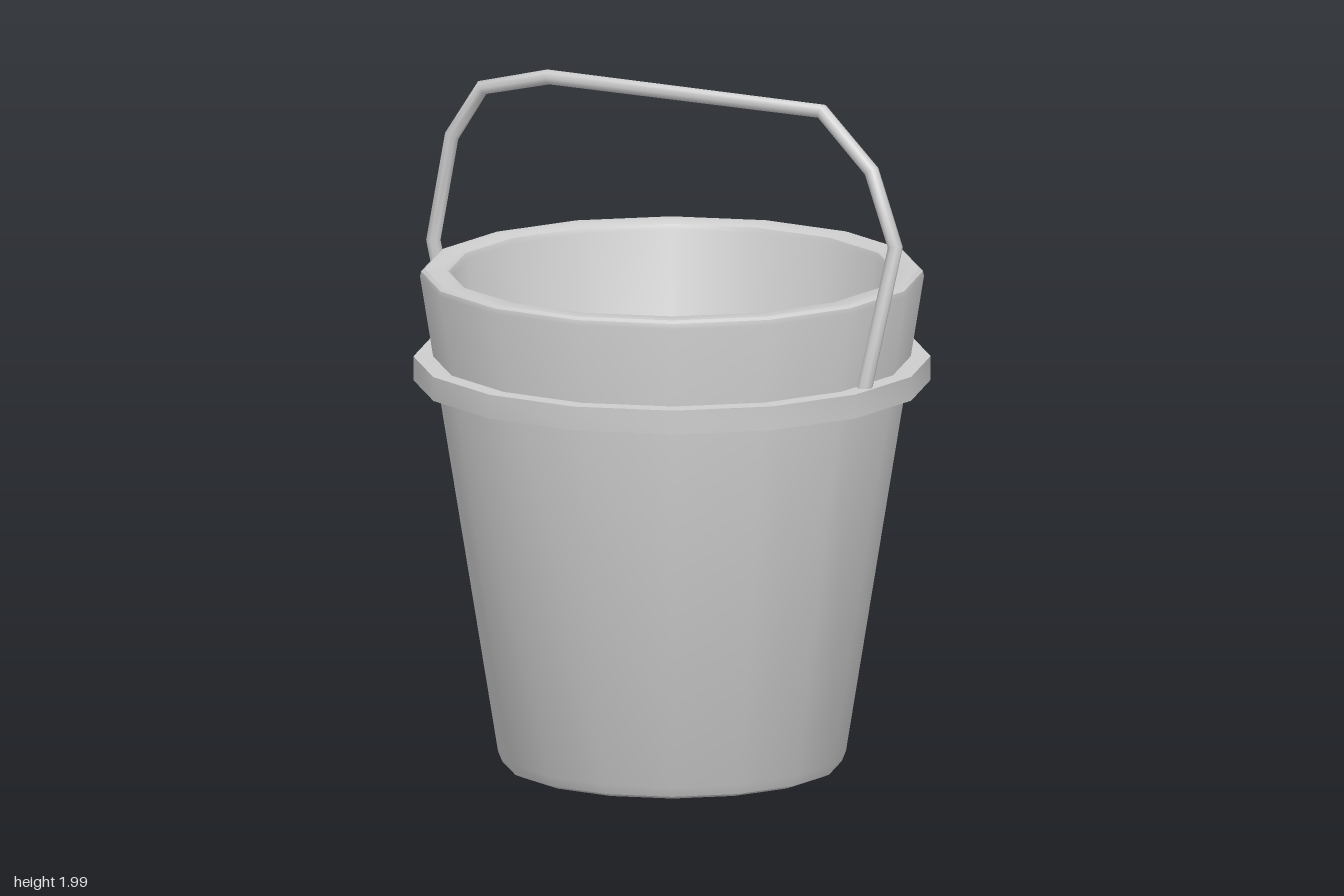
import * as THREE from 'three';
import { toCreasedNormals } from 'three/addons/utils/BufferGeometryUtils.js';

const SIDES = 16;
const CENTRE_X = 0.013;

// Turned part from [radius, height] pairs, with sharp edges kept
function turned(name, profile, material) {
  const points = profile.map(([r, y]) => new THREE.Vector2(r, y));
  const geometry = toCreasedNormals(new THREE.LatheGeometry(points, SIDES), 0.6);
  const mesh = new THREE.Mesh(geometry, material);
  mesh.name = name;
  mesh.position.x = CENTRE_X;
  return mesh;
}

// Angular path: one ring per point, mitred at each bend
class BentRod extends THREE.Curve {
  constructor(points) {
    super();
    this.points = points.map((p) => new THREE.Vector3(...p));
  }
  getPoint(t, target = new THREE.Vector3()) {
    const last = this.points.length - 1;
    const i = Math.min(Math.floor(t * last + 1e-6), last - 1);
    return target.lerpVectors(this.points[i], this.points[i + 1], t * last - i);
  }
  getPointAt(u, target) {
    return this.getPoint(u, target);
  }
  getTangentAt(u, target = new THREE.Vector3()) {
    const last = this.points.length - 1;
    const i = Math.round(u * last);
    const direction = (k) => {
      const j = Math.max(0, Math.min(last - 1, k));
      return this.points[j + 1].clone().sub(this.points[j]).normalize();
    };
    return target.copy(direction(i - 1)).add(direction(i)).normalize();
  }
}

export function createModel() {
  const model = new THREE.Group();
  model.name = 'bucket';
  const grey = new THREE.MeshStandardMaterial({ color: 0xcccccc });
  grey.name = 'light grey';

  // Hollow tapered body: base, outer wall, rounded rim, inner wall, floor
  model.add(turned('body', [
    [0, 0.005], [0.465, 0.005], [0.488, 0.015], [0.5, 0.045],
    [0.724, 1.44], [0.721, 1.455], [0.71, 1.463],
    [0.655, 1.463], [0.642, 1.455], [0.636, 1.44],
    [0.41, 0.1], [0.4, 0.085], [0, 0.085],
  ], grey));

  // Flat collar around the upper wall
  model.add(turned('collar', [
    [0.66, 1.135], [0.743, 1.135], [0.743, 1.205], [0.67, 1.205],
  ], grey));

  // Bent carrying handle, twisted slightly across the bucket
  const path = [
    [-0.698, 1.195, -0.07], [-0.757, 1.47, -0.07], [-0.7, 1.78, -0.07],
    [-0.605, 1.93, -0.07], [-0.4, 1.978, -0.07], [0.505, 1.978, 0.065],
    [0.67, 1.82, 0.09], [0.757, 1.61, 0.123], [0.686, 1.195, 0.187],
  ];
  const handle = new THREE.Mesh(
    new THREE.TubeGeometry(new BentRod(path), path.length - 1, 0.022, 8), grey);
  handle.name = 'handle';
  model.add(handle);

  return model;
}
